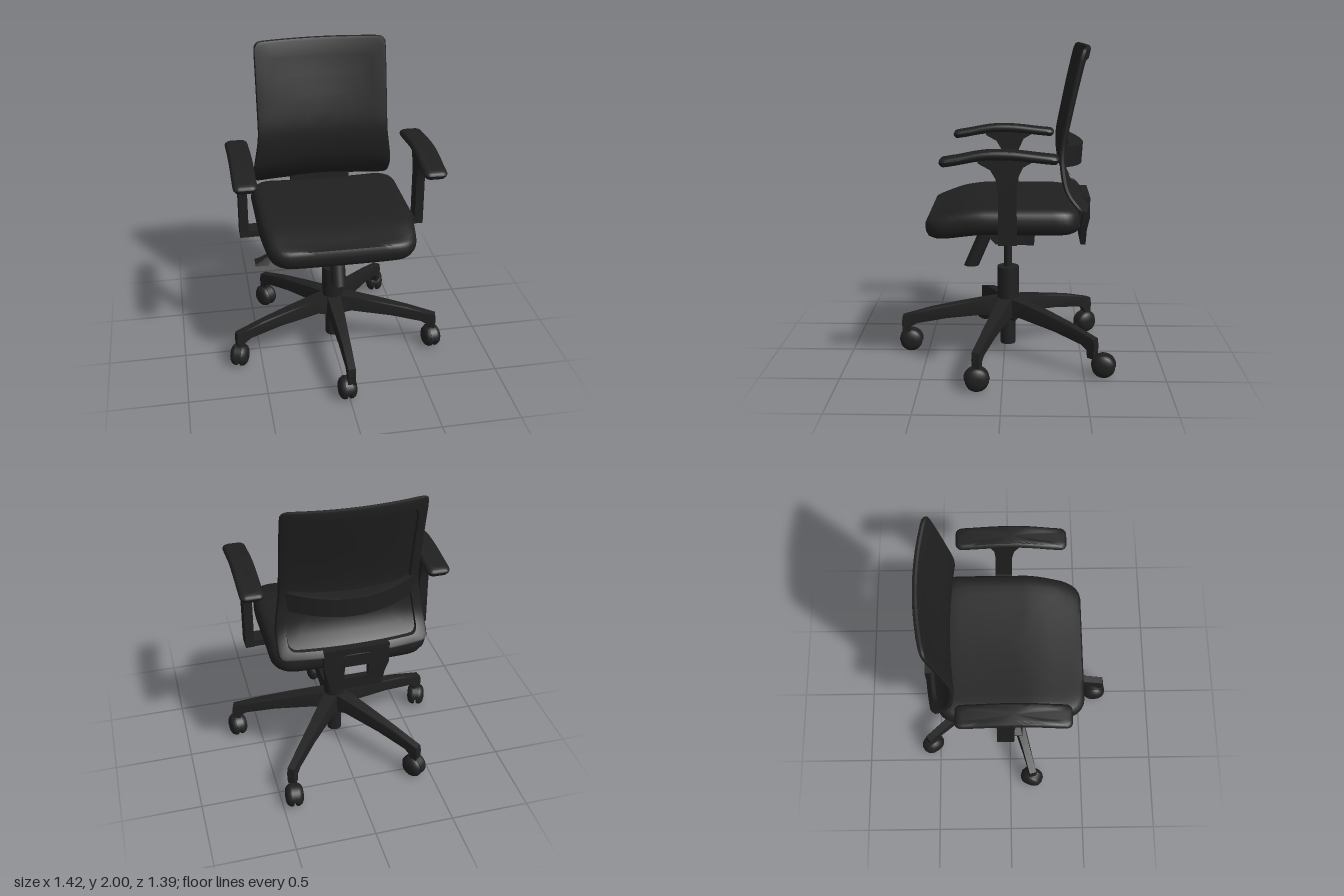
import * as THREE from 'three';
import { toCreasedNormals } from 'three/addons/utils/BufferGeometryUtils.js';

const black = new THREE.MeshStandardMaterial({ color: 0x202020 });
black.name = 'black';

const { lerp, smoothstep, clamp, degToRad } = THREE.MathUtils;

function add(parent, name, geometry, x = 0, y = 0, z = 0) {
  const mesh = new THREE.Mesh(geometry, black);
  mesh.name = name;
  mesh.position.set(x, y, z);
  parent.add(mesh);
  return mesh;
}

// Closed cushion: rounded-square rings [scale, depth] from front centre to back centre, placed by map(u, v, d)
function cushion(rings, corner, map, perSide = 20, crease = 0.6) {
  const loop = [];
  const inner = 1 - corner;
  for (let side = 0; side < 4; side++) {
    for (let i = 0; i < perSide; i++) {
      const p = new THREE.Vector2(1, -1 + (2 * i) / perSide);
      const c = new THREE.Vector2(inner, clamp(p.y, -inner, inner));
      p.sub(c).setLength(corner).add(c);
      loop.push(p.rotateAround(new THREE.Vector2(), (side * Math.PI) / 2));
    }
  }
  const n = loop.length;
  const positions = [];
  const index = [];
  rings.forEach(([s, d], r) => {
    loop.forEach((p, j) => {
      positions.push(...map(p.x * s, p.y * s, d));
      if (r === rings.length - 1) return;
      const a = r * n + j;
      const b = r * n + ((j + 1) % n);
      if (s > 0) index.push(a, b + n, b);
      if (rings[r + 1][0] > 0) index.push(a, a + n, b + n);
    });
  });
  const g = new THREE.BufferGeometry();
  g.setAttribute('position', new THREE.Float32BufferAttribute(positions, 3));
  g.setIndex(index);
  return toCreasedNormals(g, crease);
}

// Silhouette extruded to a centred thickness
function slab(points, thickness, hole) {
  const shape = new THREE.Shape(points.map(([x, y]) => new THREE.Vector2(x, y)));
  if (hole) shape.holes.push(new THREE.Path(hole.map(([x, y]) => new THREE.Vector2(x, y))));
  const g = new THREE.ExtrudeGeometry(shape, { depth: thickness, bevelEnabled: false });
  return g.translate(0, 0, -thickness / 2);
}

function warp(g, rule) {
  const p = g.attributes.position;
  const v = new THREE.Vector3();
  for (let i = 0; i < p.count; i++) {
    rule(v.fromBufferAttribute(p, i));
    p.setXYZ(i, v.x, v.y, v.z);
  }
  return toCreasedNormals(g, 0.6);
}

function makeSeat(chair) {
  const rings = [[0, 1], [0.2, 1], [0.4, 1], [0.55, 1], [0.7, 1], [0.8, 0.99], [0.88, 0.95], [0.94, 0.82], [0.975, 0.6],
    [0.995, 0.25], [1, -0.15], [0.99, -0.5], [0.965, -0.78], [0.91, -0.95], [0.8, -1], [0.5, -1], [0, -1]];
  // Dished top, drooping front edge, belly a little lower in the middle
  add(chair, 'seat', cushion(rings, 0.26, (u, v, d) => {
    const z = 0.005 - 0.467 * v;
    const dish = 0.028 * (1 - u * u) * (1 - v * v * 0.3) * smoothstep(d, 0.5, 1);
    const droop = 0.035 * smoothstep(z, 0.1, 0.43) + 0.03 * Math.max(d, 0) * smoothstep(z, 0.25, 0.47);
    const belly = 0.02 * u ** 4 * Math.max(-d, 0);
    return [0.002 + u * (0.49 - 0.035 * smoothstep(z, 0.1, 0.47)), 0.975 + 0.092 * d - dish - droop + belly, z];
  }, 24, 0.8));
}

function makeBackrest(chair) {
  // Spine of the back as (z, y), bottom to top
  const spine = new THREE.SplineCurve([[-0.465, 1.03], [-0.37, 1.15], [-0.337, 1.28], [-0.333, 1.42],
    [-0.365, 1.6], [-0.405, 1.8], [-0.45, 2]].map(([z, y]) => new THREE.Vector2(z, y)));
  const rings = [[0, 0], [0.2, 0], [0.4, 0], [0.6, 0], [0.8, 0], [0.95, 0], [0.985, -0.003], [1, -0.014],
    [0.985, -0.029], [0.95, -0.034], [0.86, -0.034], [0.85, -0.014], [0.7, -0.014], [0.5, -0.014], [0.25, -0.014], [0, -0.014]];
  add(chair, 'backrest', cushion(rings, 0.11, (u, v, d) => {
    const p = spine.getPoint(clamp((v + 1) / 2, 0, 1));
    const halfWidth = 0.462 - 0.035 * smoothstep(p.y, 1.12, 1.45);
    const sag = 0.03 + 0.02 * smoothstep(Math.abs(p.y - 1.4), 0.1, 0.5);
    return [0.002 + u * halfWidth, p.y, p.x - sag * (1 - u * u) + d];
  }, 28));

  // Bowed lumbar band behind the panel: a crescent in plan
  const arc = (base, bow) => Array.from({ length: 17 }, (_, i) => {
    const u = i / 8 - 1;
    return [u * 0.385, base + bow * (1 - u * u)];
  });
  const band = slab([...arc(0.345, 0.05), ...arc(0.375, 0.115).reverse()], 0.125).rotateX(-Math.PI / 2);
  add(chair, 'lumbarBand', warp(band, (p) => {
    p.z = -Math.abs(p.z) - 0.06 * p.y;
    p.y += 1.365 - 0.025 * (1 - (p.x / 0.385) ** 2);
  }));

  // Bracket with a handle slot under the back
  const outline = [[-0.2, 1.08], [-0.2, 0.95], [-0.18, 0.87], [-0.16, 0.77], [0.16, 0.77], [0.18, 0.87], [0.2, 0.95], [0.2, 1.08]];
  const slot = [[-0.075, 0.85], [0.075, 0.85], [0.075, 0.95], [-0.075, 0.95]];
  add(chair, 'backBracket', warp(slab(outline, 0.045, slot), (p) => {
    p.z = p.z * lerp(0.7, 1, smoothstep(p.y, 0.77, 0.95)) - 0.512 + 0.015 * smoothstep(0.95 - p.y, 0, 0.1);
  }));
}

function makeArmrest(chair, side) {
  const arm = new THREE.Group();
  arm.name = side > 0 ? 'leftArmrest' : 'rightArmrest';
  chair.add(arm);
  // Pad with round ends, drooping front and back
  const rings = [[0, 1], [0.5, 1], [0.8, 0.95], [0.94, 0.6], [1, 0.1], [0.96, -0.4], [0.82, -1], [0.5, -1], [0, -1]];
  add(arm, 'armPad', cushion(rings, 0.5, (u, v, d) => {
    const a = Math.abs(v);
    const z = 0.017 - Math.sign(v) * (a < 0.5 ? a * 0.61 : 0.305 + (a - 0.5) * 0.08);
    const droop = 0.045 * smoothstep(z, 0.05, 0.38) + 0.028 * smoothstep(-z, 0, 0.35);
    return [side * 0.573 + u * 0.073, 1.409 + d * 0.024 - droop, z];
  }));
  // Post flaring into the pad
  const post = [[0.022, 0.875], [0.024, 1.18], [0.038, 1.27], [0.068, 1.32], [0.14, 1.36], [0.14, 1.39],
    [-0.18, 1.39], [-0.18, 1.37], [-0.12, 1.335], [-0.09, 1.27], [-0.083, 1.18], [-0.087, 0.875]];
  const g = toCreasedNormals(slab(post, 0.055), 0.6).rotateY(-Math.PI / 2);
  add(arm, 'armPost', g, side * 0.568);
  add(arm, 'armBar', new THREE.BoxGeometry(0.27, 0.042, 0.105), side * 0.455, 0.897, -0.03);
}

function makeMechanism(chair) {
  const box = [[0.17, 0.9], [0.13, 0.83], [0.05, 0.765], [-0.19, 0.765], [-0.2, 0.9]];
  add(chair, 'tiltMechanism', warp(slab(box, 0.34), (p) => {
    p.z *= lerp(1, 0.5, smoothstep(p.x, 0, 0.17));
  }).rotateY(-Math.PI / 2));
  // Leaning knob with level ends
  const knob = new THREE.CylinderGeometry(0.048, 0.048, 0.27, 24);
  add(chair, 'tensionKnob', warp(knob, (p) => { p.z -= 0.43 * p.y; }), 0.005, 0.725, 0.155);
  const path = new THREE.CatmullRomCurve3([[-0.05, 0.79, 0.02], [-0.2, 0.787, 0.03], [-0.34, 0.785, 0.04],
    [-0.39, 0.77, 0.04], [-0.43, 0.73, 0.04]].map((p) => new THREE.Vector3(...p)));
  add(chair, 'leverRod', new THREE.TubeGeometry(path, 24, 0.016, 10));
  const paddle = [[-0.51, 0.69], [-0.425, 0.688], [-0.405, 0.735], [-0.43, 0.745], [-0.47, 0.72], [-0.51, 0.702]];
  add(chair, 'leverPaddle', warp(slab(paddle, 0.08), (p) => {
    p.z *= lerp(1, 0.45, smoothstep(p.y, 0.69, 0.745));
  }), 0, 0, 0.04);
}

function makeCaster(chair, x, z, turn) {
  const caster = new THREE.Group();
  caster.name = 'caster';
  caster.position.set(x, 0.073, z);
  caster.rotation.y = turn;
  chair.add(caster);
  // Twin domed wheels
  const profile = [[0, 0], [0.066, 0], [0.073, 0.008], [0.072, 0.022], [0.062, 0.038], [0.045, 0.048], [0.02, 0.052], [0, 0.052]]
    .map(([r, y]) => new THREE.Vector2(r, y));
  for (const s of [-1, 1]) {
    const g = toCreasedNormals(new THREE.LatheGeometry(profile, 24), 0.7);
    add(caster, 'wheel', g, s * 0.006).rotation.z = (-s * Math.PI) / 2;
  }
  // Hood over the wheels
  const hood = new THREE.CylinderGeometry(0.077, 0.077, 0.045, 20, 1, false, 0, Math.PI);
  hood.rotateZ(Math.PI / 2);
  add(caster, 'hood', hood);
}

function makeBase(chair) {
  const cx = 0.007;
  const cz = -0.024;
  add(chair, 'gasRod', new THREE.CylinderGeometry(0.026, 0.026, 0.3, 16), cx, 0.68, cz);
  add(chair, 'column', new THREE.CylinderGeometry(0.07, 0.07, 0.3, 28), cx, 0.435, cz);
  add(chair, 'lowerColumn', new THREE.CylinderGeometry(0.048, 0.048, 0.3, 24), cx, 0.215, cz);
  // Five tapered legs, drawn as (radius, y)
  const leg = [[0.02, 0.22], [0.06, 0.25], [0.13, 0.27], [0.4, 0.235], [0.6, 0.195], [0.64, 0.17], [0.645, 0.12],
    [0.69, 0.12], [0.697, 0.2], [0.69, 0.245], [0.5, 0.3], [0.3, 0.34], [0.14, 0.368], [0.02, 0.385]];
  for (const angle of [90, 15, 165, -52, -127]) {
    const g = warp(slab(leg, 0.12), (p) => {
      p.z *= lerp(0.95, 0.4, smoothstep(p.x, 0, 0.6)) * lerp(1, 0.8, smoothstep(p.y, 0.2, 0.38));
    });
    add(chair, 'leg', g, cx, 0, cz).rotation.y = -degToRad(angle);
  }
  // Casters as x, z and swivel
  [[-0.012, 0.615, 0.05], [0.652, 0.15, 0.15], [-0.645, 0.15, -0.35], [0.425, -0.62, -0.1], [-0.395, -0.55, 0.6]]
    .forEach((c) => makeCaster(chair, ...c));
}

export function createModel() {
  const chair = new THREE.Group();
  chair.name = 'officeChair';
  makeSeat(chair);
  makeBackrest(chair);
  makeArmrest(chair, 1);
  makeArmrest(chair, -1);
  makeMechanism(chair);
  makeBase(chair);
  return chair;
}
